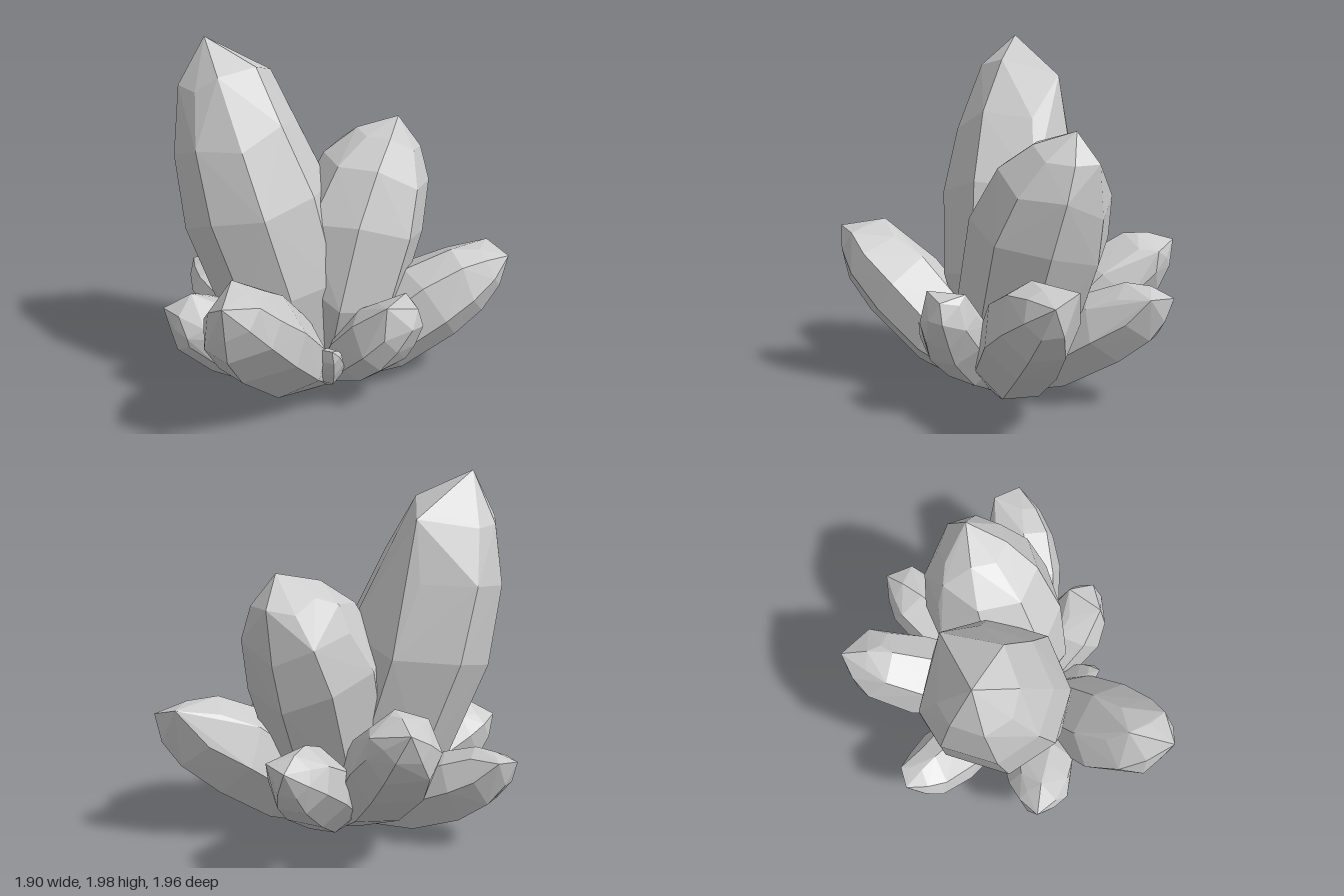
import * as THREE from 'three';
import { ConvexGeometry } from 'three/addons/geometries/ConvexGeometry.js';

const material = new THREE.MeshStandardMaterial({ color: 0xcccccc, flatShading: true });

// shared crystal outline: [position along the spine, share of the widest radius]
const profile = [[0, 0.36], [0.25, 0.91], [0.5, 1], [0.72, 0.83], [0.88, 0.5]];

// small seeded generator for the uneven facets
function seeded(seed) {
  let s = seed * 7919 + 17;
  return () => (s = (s * 16807) % 2147483647) / 2147483647;
}

// One crystal: a bent spine from the shared root through its widest point to the tip;
// the extra corners turn the point into a slanting chisel end
function crystal(name, sides, radius, middle, tip, chisel, seed) {
  const rand = seeded(seed);
  const phase = rand() * Math.PI;
  const end = new THREE.Vector3(...tip);
  const root = new THREE.Vector3(tip[0] * 0.08, 0.09, tip[2] * 0.08);
  const spine = new THREE.CatmullRomCurve3([root, new THREE.Vector3(...middle), end], false, 'catmullrom', 0.5);
  const axis = end.clone().sub(root).normalize();
  const turn = new THREE.Quaternion().setFromUnitVectors(new THREE.Vector3(0, 1, 0), axis);

  // each side keeps its own angle and width so that the long facets stay nearly flat
  const corners = Array.from({ length: sides }, (_, i) => {
    const angle = phase + ((i + (rand() - 0.5) * 0.35) / sides) * Math.PI * 2;
    const width = 1 + rand() * 0.08;
    return new THREE.Vector3(Math.cos(angle) * width, 0, Math.sin(angle) * width);
  });

  const points = [end, ...chisel.map((c) => new THREE.Vector3(...c))];
  for (const [along, share] of profile) {
    const centre = spine.getPoint(along);
    const r = radius * share;
    for (const corner of corners) {
      const p = corner.clone().multiplyScalar(r);
      p.y = (rand() - 0.5) * r * 0.35;
      p.applyQuaternion(turn).add(centre);
      p.y = Math.max(p.y, 0);
      points.push(p);
    }
  }
  const mesh = new THREE.Mesh(new ConvexGeometry(points), material);
  mesh.name = name;
  return mesh;
}

export function createModel() {
  const group = new THREE.Group();
  group.name = 'crystalCluster';
  const add = (...args) => group.add(crystal(...args, group.children.length + 1));

  // two tall upright crystals
  add('tallCrystal', 8, 0.4, [-0.37, 1.06, 0.01], [-0.65, 2, 0.05], [[-0.35, 1.86, 0.06], [-0.4, 1.77, -0.26]]);
  add('secondCrystal', 8, 0.37, [0.13, 0.94, -0.24], [0.28, 1.51, -0.48], [[0.08, 1.46, -0.35], [-0.04, 1.36, -0.46]]);

  // leaning crystals around the base
  add('frontCrystal', 7, 0.25, [-0.14, 0.56, 0.6], [-0.16, 0.9, 0.98], [[-0.22, 0.94, 0.73], [-0.01, 0.88, 0.86]]);
  add('leftCrystal', 7, 0.24, [0.54, 0.49, -0.29], [0.95, 0.74, -0.5], [[0.8, 0.79, -0.59]]);
  add('backLeftCrystal', 7, 0.2, [0.07, 0.43, -0.61], [0.12, 0.63, -0.98], [[0.24, 0.64, -0.87]]);
  add('backRightCrystal', 7, 0.23, [-0.34, 0.58, -0.57], [-0.48, 0.84, -0.92], [[-0.35, 0.88, -0.73], [-0.27, 0.8, -0.86]]);
  add('rightCrystal', 7, 0.18, [-0.63, 0.35, -0.19], [-0.95, 0.53, -0.29], [[-0.86, 0.54, -0.37]]);

  // short crystals filling the front
  add('frontRightCrystal', 7, 0.2, [-0.47, 0.38, 0.31], [-0.77, 0.56, 0.45], [[-0.62, 0.65, 0.4], [-0.58, 0.45, 0.55]]);
  add('frontLeftCrystal', 7, 0.18, [0.37, 0.42, 0.14], [0.6, 0.65, 0.16], [[0.46, 0.68, 0.27], [0.5, 0.68, 0.05]]);
  add('tinyCrystal', 6, 0.095, [0.12, 0.25, 0.25], [0.2, 0.44, 0.4], [[0.14, 0.44, 0.4]]);
  return group;
}
